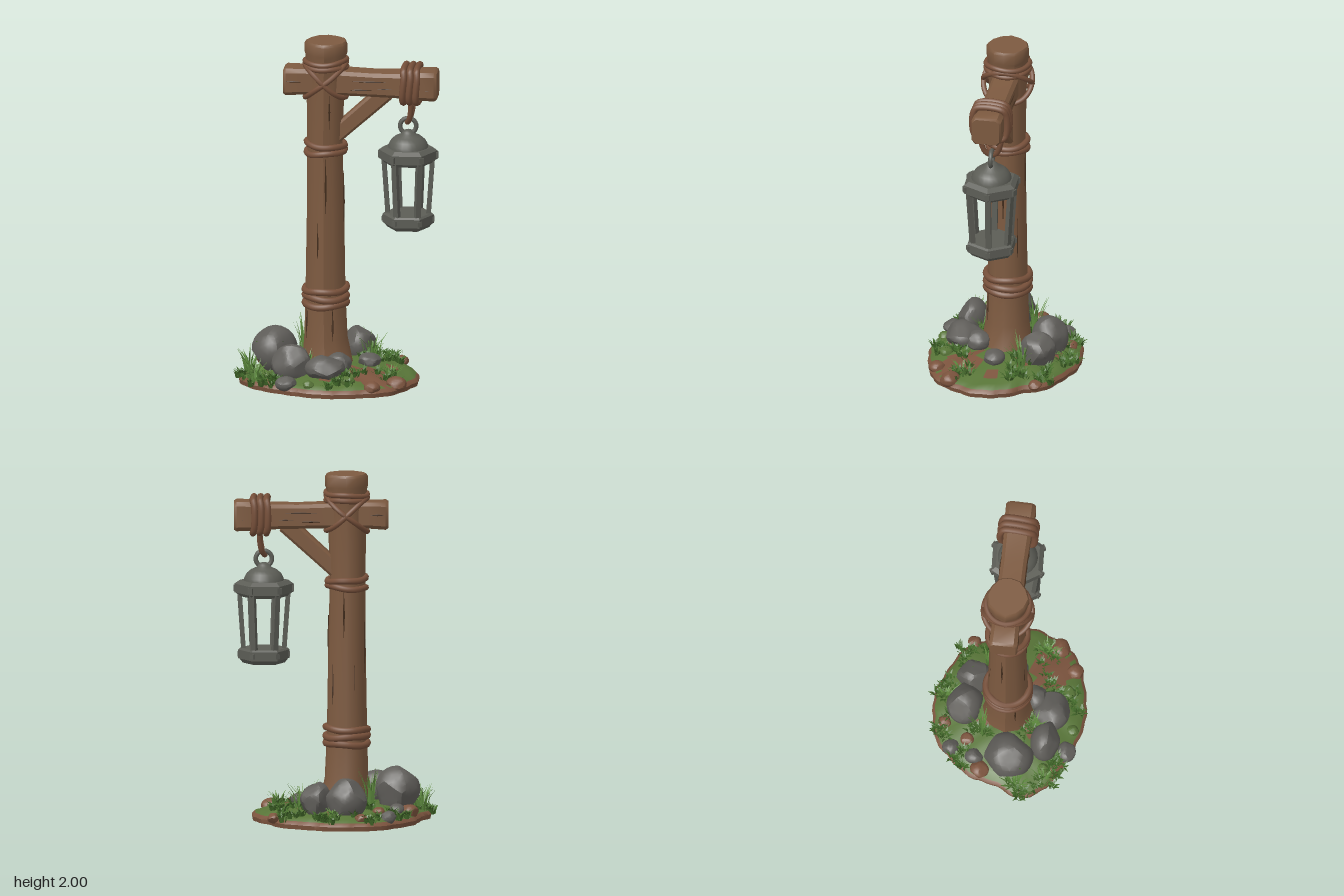
import * as THREE from 'three';
import { toCreasedNormals, mergeGeometries } from 'three/addons/utils/BufferGeometryUtils.js';

const V = (x, y, z) => new THREE.Vector3(x, y, z);
const mat = (name, color, side = THREE.FrontSide) => {
  const m = new THREE.MeshStandardMaterial({ color, side });
  m.name = name;
  return m;
};
let seed = 7;
const rnd = (a = 0, b = 1) => {
  seed = (seed * 16807) % 2147483647;
  return a + (b - a) * (seed / 2147483647);
};

// Closed solid along +z: sections are [z, halfWidth, halfHeight, offsetX, offsetY]
function loft(shape, sections) {
  const n = shape.length, pos = [], idx = [];
  for (const [z, w, h, ox = 0, oy = 0] of sections)
    for (const [x, y] of shape) pos.push(x * w + ox, y * h + oy, z);
  const last = (sections.length - 1) * n, c = sections.length * n;
  for (const s of [sections[0], sections.at(-1)]) pos.push(s[3] || 0, s[4] || 0, s[0]);
  for (let i = 0; i < n; i++) {
    const j = (i + 1) % n;
    for (let r = 0; r < last; r += n) idx.push(r + i, r + j, r + n + j, r + i, r + n + j, r + n + i);
    idx.push(c, j, i, c + 1, last + i, last + j);
  }
  const g = new THREE.BufferGeometry();
  g.setAttribute('position', new THREE.Float32BufferAttribute(pos, 3));
  g.setIndex(idx);
  return toCreasedNormals(g, 0.7);
}

// Ground surface height
const groundY = (x, z) => {
  const d = Math.hypot((x + 0.05) / 0.5, z / 0.43);
  return 0.115 - 0.07 * d * d + 0.008 * Math.sin(x * 31 + 1) * Math.cos(z * 27);
};

// Lumpy island: a dirt rim with moss on top
function moundGeometry() {
  const rim = [[-.57, .11], [-.51, -.03], [-.475, -.18], [-.36, -.33], [-.26, -.41], [0, -.44], [.14, -.39], [.31, -.29],
    [.35, -.2], [.43, -.09], [.46, .08], [.41, .21], [.32, .335], [.17, .4], [-.06, .435], [-.29, .37], [-.45, .29], [-.53, .21]];
  const N = 84, line = new THREE.CatmullRomCurve3(rim.map(([x, z]) => V(x, 0, z)), true).getSpacedPoints(N);
  const rings = [[0.99, 0], [1, 0.025], [0.965, 0.045], [0.88], [0.76], [0.62], [0.46], [0.3], [0.02]];
  const pos = [], dirt = [], moss = [];
  for (const [t, y] of rings)
    for (let i = 0; i < N; i++) {
      const k = t * (t > 0.9 ? 0.985 + 0.02 * Math.abs(Math.sin(i * 0.9)) : 1);
      const x = -0.05 + (line[i].x + 0.05) * k, z = line[i].z * k;
      pos.push(x, y ?? groundY(x, z), z);
    }
  pos.push(-0.05, 0, 0);
  for (let i = 0; i < N; i++) {
    const j = (i + 1) % N;
    dirt.push(i, j, rings.length * N);
    for (let r = 0; r < rings.length - 1; r++) {
      const p = r * N, q = p + N, x = pos[(p + i) * 3], z = pos[(p + i) * 3 + 2];
      const bare = r < 2 || Math.hypot(x - 0.24, z - 0.22) < 0.12 || Math.sin(x * 17 + 2) * Math.cos(z * 19) > 0.72;
      (bare ? dirt : moss).push(p + i, q + i, p + j, p + j, q + i, q + j);
    }
  }
  const g = new THREE.BufferGeometry();
  g.setAttribute('position', new THREE.Float32BufferAttribute(pos, 3));
  g.setIndex([...dirt, ...moss]);
  const c = toCreasedNormals(g, 0.8);
  c.clearGroups();
  c.addGroup(0, dirt.length, 0);
  c.addGroup(dirt.length, moss.length, 1);
  return c;
}

// Boulder: a ball trimmed by random planes
function stoneGeometry(rx, ry, rz) {
  const g = new THREE.IcosahedronGeometry(1, 4), p = g.attributes.position, v = V(0, 0, 0);
  const planes = Array.from({ length: 11 }, () => [V(rnd(-1, 1), rnd(-0.6, 1), rnd(-1, 1)).normalize(), rnd(0.78, 0.92)]);
  for (let i = 0; i < p.count; i++) {
    v.fromBufferAttribute(p, i).normalize();
    let r = 1;
    for (const [n, d] of planes) if (v.dot(n) > 0.1) r = Math.min(r, d / v.dot(n));
    p.setXYZ(i, v.x * r * rx, v.y * r * ry, v.z * r * rz);
  }
  g.deleteAttribute('uv');
  return toCreasedNormals(g, 0.5);
}

// Tuft of bent tapering blades
function tuft(x, z, count, height, spread, width, y0 = groundY(x, z)) {
  const pos = [];
  for (let i = 0; i < count; i++) {
    const a = rnd(0, 6.28), h = height * rnd(0.5, 1), s = spread * rnd(0.3, 1), o = spread * rnd(0, 0.45);
    const at = (d, y, w) => [x + Math.cos(a) * d - Math.sin(a) * w, y0 + y, z + Math.sin(a) * d + Math.cos(a) * w];
    const A = at(o, -0.01, -width), B = at(o, -0.01, width), C = at(o + s * 0.35, h * 0.6, width * 0.8);
    const D = at(o + s * 0.35, h * 0.6, -width * 0.8), T = at(o + s, h, 0);
    pos.push(...A, ...B, ...C, ...A, ...C, ...D, ...D, ...C, ...T);
  }
  const g = new THREE.BufferGeometry();
  g.setAttribute('position', new THREE.Float32BufferAttribute(pos, 3));
  g.computeVertexNormals();
  return g;
}

export function createModel() {
  seed = 7;
  const root = new THREE.Group();
  const wood = mat('wood', 0x7d5a40), rope = mat('rope', 0x77503a), crack = mat('darkCrack', 0x46301f);
  const dirt = mat('dirt', 0x7c543e), moss = mat('moss', 0x587538), stone = mat('stone', 0x605e5a);
  const metal = mat('metal', 0x5c5d56);
  const leaf = mat('leaf', 0x436a2a, THREE.DoubleSide), blade = mat('grassBlade', 0x5f8c3f, THREE.DoubleSide);
  const add = (name, geo, material, parent = root) => {
    const m = new THREE.Mesh(geo, material);
    m.name = name;
    parent.add(m);
    return m;
  };
  const PX = -0.082, PZ = -0.01;

  // Ground, boulders and pebbles
  add('ground', moundGeometry(), [dirt, moss]);
  const stones = [ // x, z, rx, rz, top height
    [-.08, -.255, .115, .1, .27], [.09, -.22, .09, .1, .25], [-.37, .03, .125, .135, .3], [-.25, .225, .11, .08, .25],
    [-.06, .24, .11, .1, .2], [.01, .14, .07, .07, .19], [.17, .02, .065, .06, .16], [-.32, -.31, .05, .045, .1],
    [-.37, -.17, .045, .05, .12], [-.27, .35, .06, .05, .1]];
  for (const [x, z, rx, rz, top] of stones) {
    const ry = Math.max((top - groundY(x, z)) * 0.62, 0.04);
    add('stone', stoneGeometry(rx * 1.06, ry * 1.08, rz * 1.06), stone).position.set(x, top - ry, z);
  }
  const pebbles = [[-.44, -.13, .055, dirt], [.33, -.25, .04, dirt], [.08, .32, .042, moss], [-.14, .37, .035, moss],
    [-.39, .23, .032, moss], [-.27, -.22, .04, dirt], [.35, .24, .06, dirt], [.22, .34, .05, dirt], [-.17, -.36, .04, dirt]];
  for (const [x, z, r, m] of pebbles)
    add('pebble', stoneGeometry(r, r * 0.75, r), m).position.set(x, groundY(x, z) + 0.005, z);

  // Grass: tall tufts, and low leafy ground cover
  const tall = [[-.22, -.14, .25, .07], [.17, -.14, .17, .09], [-.51, .08, .15, .08], [-.46, .24, .12, .08],
    [-.17, .15, .12, .06], [.31, .17, .08, .07], [-.02, -.37, .07, .07]];
  add('tallGrass', mergeGeometries(tall.map(([x, z, h, s]) => tuft(x, z, 24, h, s, 0.006))), blade);
  const cover = [];
  const beds = [[.32, -.14], [.3, .18], [.02, -.39], [-.2, -.16], [.16, -.13], [-.5, .1], [-.45, .25], [-.14, .14],
    [.04, .35], [-.4, -.25], [.22, -.28], [-.2, -.36], [-.36, .3], [.1, .22]];
  for (const [x, z] of beds)
    for (let i = 0; i < 6; i++) cover.push(tuft(x + rnd(-.07, .07), z + rnd(-.05, .05), 12, .045, .045, .008));
  for (let i = 0; i < 8; i++) cover.push(tuft(-.37 + rnd(-.08, .08), .04 + rnd(0, .09), 6, .02, .025, .006, rnd(.2, .24)));
  add('groundCover', mergeGeometries(cover), leaf);

  // Post with an uneven round section and a wider head
  const round = Array.from({ length: 12 }, (_, i) => {
    const a = i * Math.PI / 6, r = 1 + 0.035 * Math.sin(i * 2.3);
    return [Math.cos(a) * r, Math.sin(a) * r];
  });
  const postRows = [[.04, .165, .02], [.11, .142, .012], [.25, .122, .003], [.5, .113, 0], [1, .105, 0], [1.4, .1, -.004],
    [1.75, .107, 0], [1.91, .114, .002], [1.93, .12, .003], [1.985, .12, .003], [2, .111, .003]];
  const post = add('post', loft(round, postRows.map(([y, r, o]) => [y, r, r, o, 0])).rotateX(-Math.PI / 2), wood);
  post.position.set(PX, 0, PZ);

  // Crossbeam and diagonal brace with chamfered edges
  const bevel = [[1, -.72], [1, .72], [.74, 1], [-.74, 1], [-1, .72], [-1, -.72], [-.74, -1], [.74, -1]];
  const beam = add('crossbeam', loft(bevel, [[-.32, .074, .07, 0, 0], [-.305, .082, .079], [-.2, .078, .075, 0, .003],
    [0, .075, .071], [.2, .073, .069, 0, -.006], [.38, .078, .073, 0, -.006], [.46, .084, .082, 0, -.004],
    [.545, .086, .085, 0, -.004], [.56, .078, .076, 0, -.004]]).rotateY(Math.PI / 2), wood);
  beam.position.set(0, 1.763, PZ);
  const brace = add('brace', loft(bevel, [[-.05, .05, .045], [.12, .046, .047], [.4, .05, .05]]).rotateY(Math.PI / 2), wood);
  brace.position.set(-.03, 1.44, PZ);
  brace.rotation.z = 0.74;

  // Thin dark cracks in the wood
  const split = (x, y, z, len, along) => {
    const c = add('woodCrack', new THREE.OctahedronGeometry(1), crack);
    c.scale.set(along ? len / 2 : .006, along ? .005 : len / 2, .006);
    c.position.set(x, y, z);
    return c;
  };
  [[.1, 1.15, .4], [-.35, .8, .3], [.45, .32, .3], [1.5, 1.05, .35], [2.3, .75, .4], [3, 1.2, .3], [3.6, .8, .35],
    [4.5, 1, .4], [5.2, .33, .25], [0, .3, .25], [.3, 1.6, .2]].forEach(([a, y, len]) => {
    const r = y < .4 ? .116 : .104;
    split(PX + Math.sin(a) * r, y, PZ + Math.cos(a) * r, len, false).rotation.y = a;
  });
  for (const s of [1, -1])
    for (const [x, y, len] of [[.18, 1.78, .22], [.12, 1.73, .14], [-.26, 1.77, .1], [.51, 1.74, .08], [.27, 1.74, .1]])
      split(x, y, PZ + s * (x > .4 || x < -.2 ? .081 : .074), len, true);

  // Rope rings: slightly wobbly, with an optional tilt
  const ring = (name, pts, r) =>
    add(name, new THREE.TubeGeometry(new THREE.CatmullRomCurve3(pts, true), 56, r, 8, true), rope);
  const hoop = (name, y, rx, rz, r, tilt = 0) => ring(name, Array.from({ length: 16 }, (_, i) => {
    const a = i * Math.PI / 8;
    return V(PX + Math.cos(a) * rx, y + Math.cos(a) * tilt + .004 * Math.sin(a * 3 + y * 40), PZ + Math.sin(a) * rz);
  }), r);
  for (const [y, t] of [[.45, .004], [.492, -.005], [.535, .005]]) hoop('lowerPostRope', y, .119, .124, .02, t);
  for (const [y, t] of [[1.35, .008], [1.392, -.008]]) hoop('middlePostRope', y, .109, .112, .018, t);
  for (const [y, t] of [[1.855, -.004], [1.885, .006]]) hoop('upperPostRope', y, .119, .125, .015, t);
  for (const t of [.1, -.1]) hoop('crossedRope', 1.77, .118, .14, .015, t);
  for (const x of [.37, .408, .446])
    ring('beamRope', [[.075, .095], [.095, .06], [.095, -.06], [.075, -.09], [-.075, -.09], [-.095, -.06], [-.095, .06],
      [-.075, .095]].map(([z, y], i) => V(x + .005 * Math.sin(i * 2), 1.757 + y, PZ + z)), .019);
  const hang = new THREE.CatmullRomCurve3([V(.41, 1.7, .065), V(.413, 1.63, .05), V(.4, 1.555, .025), V(.385, 1.53, -.01),
    V(.4, 1.555, -.045), V(.413, 1.63, -.07), V(.41, 1.7, -.085)]);
  add('hangingRope', new THREE.TubeGeometry(hang, 32, .016, 8), rope);

  // Lantern: six-sided, open between the bars
  const lantern = new THREE.Group();
  lantern.name = 'lantern';
  lantern.position.set(.39, 0, PZ);
  lantern.rotation.y = 0.05;
  root.add(lantern);
  const hex = (name, y0, y1, r0, r1) => {
    const g = toCreasedNormals(new THREE.CylinderGeometry(r1, r0, y1 - y0, 6).rotateY(Math.PI / 6), 0.3);
    add(name, g, metal, lantern).position.y = (y0 + y1) / 2;
  };
  hex('lanternBase', .91, .935, .12, .14);
  hex('lanternLowerCollar', .935, .985, .147, .147);
  hex('lanternLowerLip', .985, .995, .147, .135);
  hex('lanternUpperLip', 1.295, 1.315, .145, .16);
  hex('lanternUpperCollar', 1.315, 1.365, .168, .168);
  hex('lanternRoof', 1.365, 1.385, .168, .14);
  const dome = [[.115, 1.38], [.112, 1.4], [.098, 1.425], [.075, 1.445], [.042, 1.46], [.035, 1.475], [.018, 1.485], [0, 1.487]];
  add('lanternDome', new THREE.LatheGeometry(dome.map(([x, y]) => new THREE.Vector2(x, y)), 24), metal, lantern);
  add('lanternRing', new THREE.TorusGeometry(.046, .013, 10, 28), metal, lantern).position.y = 1.508;
  for (let i = 0; i < 6; i++) {
    const side = new THREE.Group();
    side.name = 'lanternSide';
    side.rotation.y = i * Math.PI / 3;
    lantern.add(side);
    const bar = add('lanternBar', new THREE.BoxGeometry(.026, .34, .032), metal, side);
    bar.position.set(.127, 1.145, 0);
    bar.rotation.z = -0.07;
    add('lanternRivet', new THREE.BoxGeometry(.014, .035, .03), metal, side).position.set(.165, 1.34, 0);
    add('lanternRivet', new THREE.BoxGeometry(.012, .028, .026), metal, side).position.set(.144, .96, 0);
  }
  return root;
}
